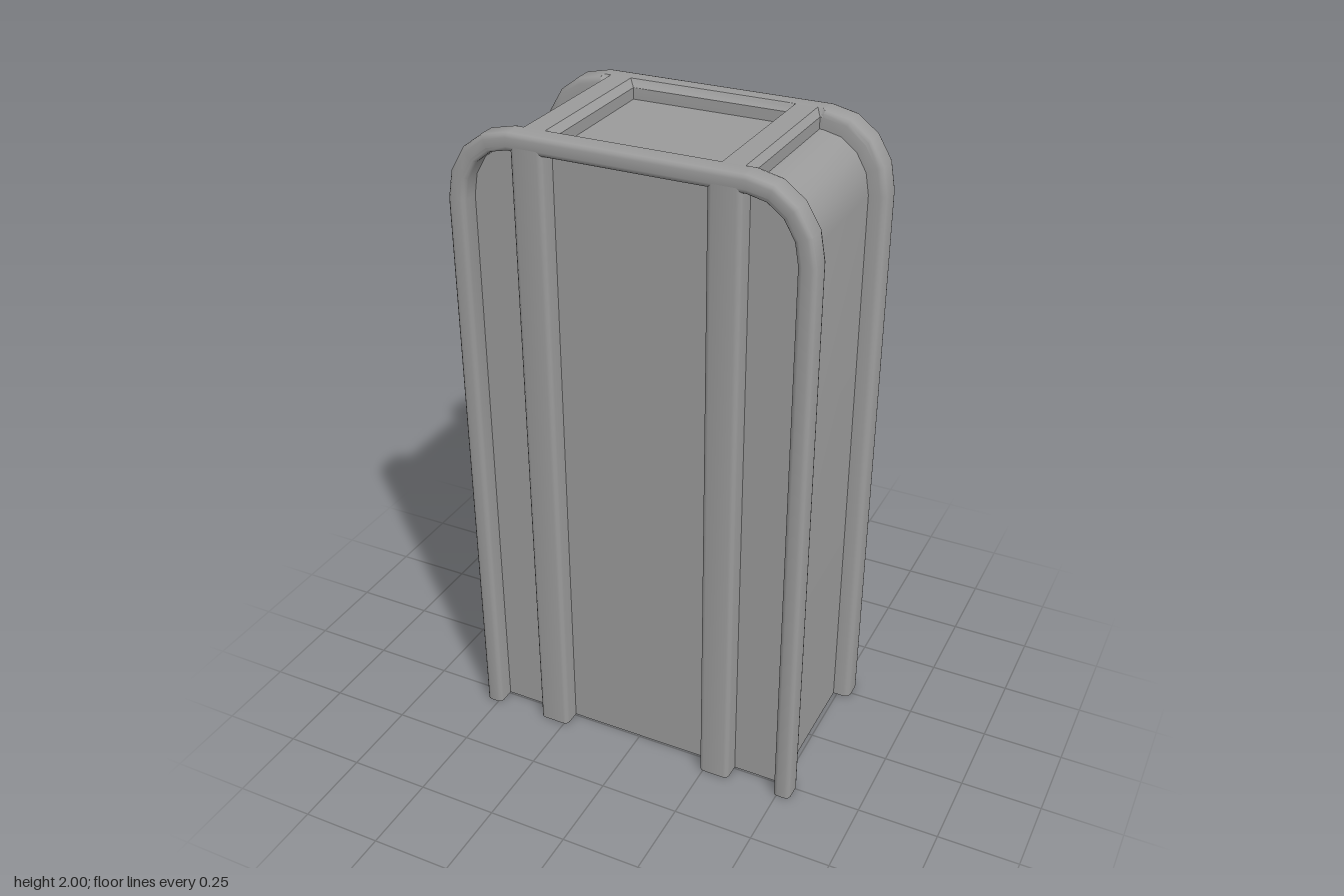
import * as THREE from 'three';
import { toCreasedNormals } from 'three/addons/utils/BufferGeometryUtils.js';

const material = new THREE.MeshStandardMaterial({ color: 0x9b9b9b, side: THREE.DoubleSide });
const HALF_WIDTH = 0.542, FACE_Z = 0.303;
const INSET = -0.054;   // rim inner edge, measured inward from the outer arch
const PANEL_Z = 0.245;  // depth of the recessed face panels
const RIB_IN = 0.237, RIB_OUT = 0.335;
const FLOOR = 2 + INSET;

// Surface through rows of [x, y, z] points
function sheet(name, rows, flip) {
  const n = rows[0].length, index = [];
  for (let i = 0; i < rows.length - 1; i++) {
    for (let j = 0; j < n - 1; j++) {
      const a = i * n + j, b = a + 1, c = a + n, d = c + 1;
      if (flip) index.push(a, c, b, b, c, d);
      else index.push(a, b, c, b, d, c);
    }
  }
  const geometry = new THREE.BufferGeometry();
  geometry.setAttribute('position', new THREE.Float32BufferAttribute(rows.flat(2), 3));
  geometry.setIndex(index);
  const mesh = new THREE.Mesh(toCreasedNormals(geometry, 0.6), material);
  mesh.name = name;
  return mesh;
}

// Right-hand rounded corner of the arch, offset by d
function corner(d) {
  const points = [];
  for (let i = 0; i <= 4; i++) {
    const t = i * Math.PI / 8;
    points.push([0.345 + (HALF_WIDTH - 0.345 + d) * Math.cos(t), 1.78 + (0.22 + d) * Math.sin(t)]);
  }
  return points;
}

// Complete a half outline with its mirror image across x = 0
const mirrored = half => [...half, ...half.slice().reverse().map(([x, ...rest]) => [-x, ...rest])];

export function createModel() {
  const group = new THREE.Group();
  group.name = 'ribbedShell';

  // Side walls and top, with the two chamfered ribs crossing the top
  const outline = mirrored([
    [HALF_WIDTH + INSET, 0], ...corner(INSET),
    [RIB_OUT, FLOOR], [RIB_OUT, 1.98], [0.32, 2],
    [0.255, 2], [RIB_IN, 1.98], [RIB_IN, FLOOR],
  ]);
  group.add(sheet('bodyShell', [-PANEL_Z, PANEL_Z].map(z => outline.map(([x, y]) => [x, y, z])), false));

  // Rounded edge between a recess wall and the front face: [distance in, z]
  const softEdge = [[0, FACE_Z - 0.015], [0.002, FACE_Z - 0.0075], [0.0075, FACE_Z - 0.002], [0.015, FACE_Z]];

  // Hollow rim section: [offset from the arch, z]; the back edge is
  // rounded at the corners and chamfered along the top between the ribs
  const rimSection = backEdge => [
    [INSET, PANEL_Z], ...softEdge.map(([d, z]) => [INSET + d, z]),
    [-0.015, FACE_Z], [-0.0075, FACE_Z - 0.002], [-0.002, FACE_Z - 0.0075], [0, FACE_Z - 0.015],
    [0, 0.245], ...backEdge, [-0.02, 0.225], [INSET, 0.225],
  ];
  const roundSection = rimSection([[-0.003, 0.235], [-0.01, 0.228]]);
  const chamferSection = rimSection([[-0.007, 0.238], [-0.014, 0.231]]);

  // Face section from the side edge to the middle: [x, top y, z]
  const ribEdge = (x, inward) => [
    [x, FLOOR, PANEL_Z], ...softEdge.map(([d, z]) => [x + inward * d, FLOOR + d, z]),
  ];
  const faceSection = mirrored([
    ...corner(INSET).map(([x, y]) => [x, y, PANEL_Z]),
    ...ribEdge(RIB_OUT, -1), ...ribEdge(RIB_IN, 1).reverse(),
  ]);

  for (const [side, s] of [['front', 1], ['back', -1]]) {
    // Rim swept up one side, over the top and down the other
    const rim = roundSection.map(([d, z], i) => {
      const [topD, topZ] = chamferSection[i];
      return mirrored([
        ...[[HALF_WIDTH + d, 0], ...corner(d)].map(([x, y]) => [x, y, s * z]),
        [RIB_OUT, 2 + topD, s * topZ],
      ]);
    });
    group.add(sheet(side + 'Rim', rim, s > 0));

    // Recessed panels with two hollow vertical ribs
    const face = [0, 1].map(k => faceSection.map(([x, y, z]) => [x, k * y, s * z]));
    group.add(sheet(side + 'RibbedFace', face, s > 0));
  }
  return group;
}
